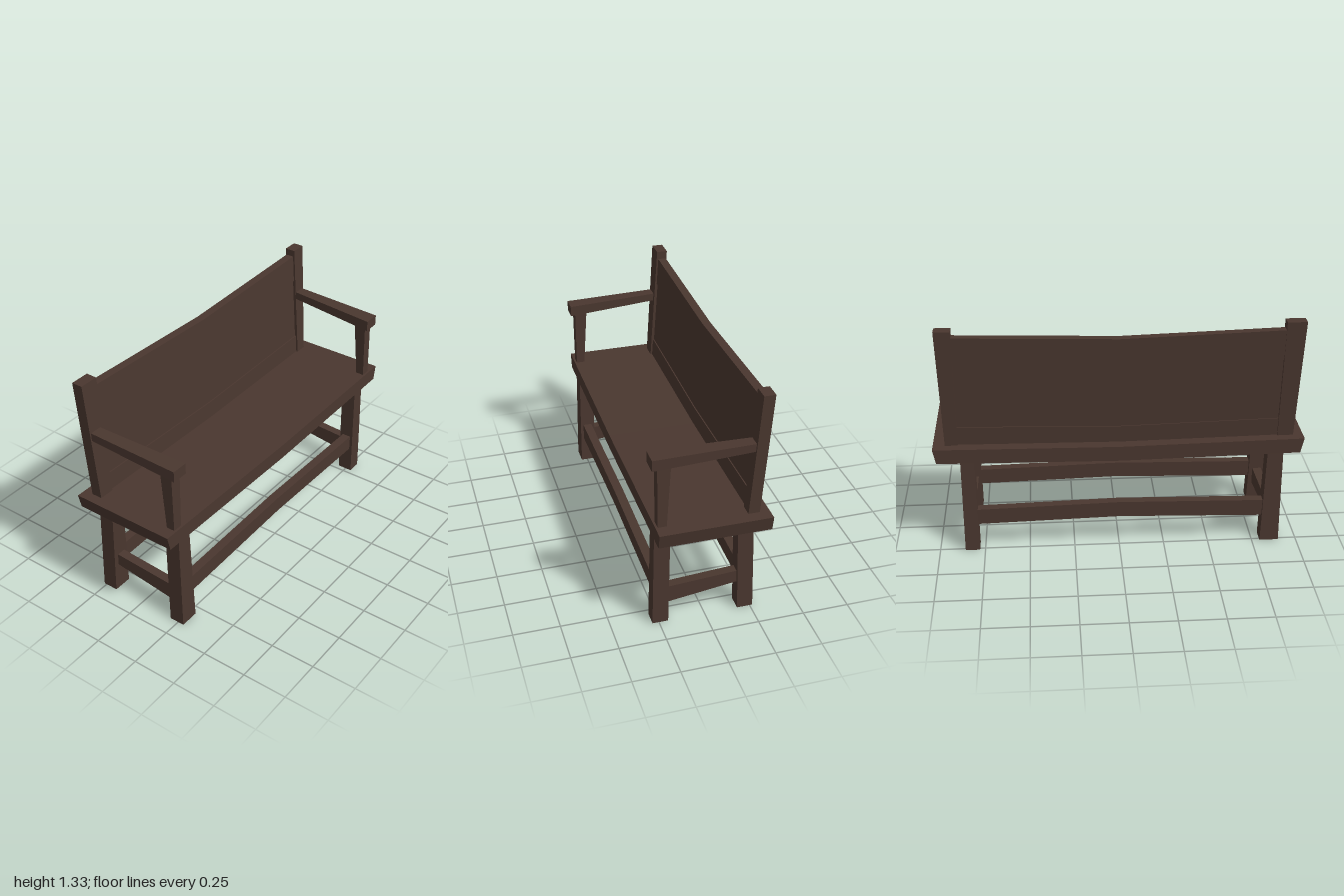
import * as THREE from 'three';

const wood = new THREE.MeshStandardMaterial({ color: 0x4a372f });
wood.name = 'dark wood';

// Flat-faced beam along an axis (0 x, 1 y, 2 z) through rectangular sections.
// Section: [position, b0, b1, c0, c1, tilt]; b and c are the next axes in
// cyclic order, and tilt moves the b1 side along the beam to slant its end.
function beam(name, axis, sections) {
  const rings = sections.map(([a, b0, b1, c0, c1, tilt = 0]) =>
    [[b0, c0], [b1, c0], [b1, c1], [b0, c1]].map(([b, c]) => {
      const p = [0, 0, 0];
      p[axis] = a + (b === b1 ? tilt : 0);
      p[(axis + 1) % 3] = b;
      p[(axis + 2) % 3] = c;
      return p;
    }));
  const out = [];
  const quad = (p, q, r, s) => out.push(...p, ...q, ...r, ...p, ...r, ...s);
  for (let i = 0; i + 1 < rings.length; i++) {
    for (let k = 0; k < 4; k++) {
      const n = (k + 1) % 4;
      quad(rings[i][k], rings[i][n], rings[i + 1][n], rings[i + 1][k]);
    }
  }
  const first = rings[0], last = rings[rings.length - 1];
  quad(first[3], first[2], first[1], first[0]);
  quad(last[0], last[1], last[2], last[3]);
  const geo = new THREE.BufferGeometry();
  geo.setAttribute('position', new THREE.Float32BufferAttribute(out, 3));
  geo.computeVertexNormals();
  const mesh = new THREE.Mesh(geo, wood);
  mesh.name = name;
  return mesh;
}

// Tilts a back part rearwards with height above the seat
function lean(mesh) {
  const p = mesh.geometry.attributes.position;
  for (let i = 0; i < p.count; i++) p.setZ(i, p.getZ(i) - 0.067 * (p.getY(i) - 0.65));
  mesh.geometry.computeVertexNormals();
  return mesh;
}

export function createModel() {
  const bench = new THREE.Group();
  bench.name = 'bench';

  // Sagging seat plank with slanted ends
  bench.add(beam('seat', 0, [
    [-0.98, 0.573, 0.657, -0.302, 0.287, -0.02],
    [0, 0.556, 0.64, -0.302, 0.287],
    [0.983, 0.57, 0.652, -0.302, 0.287, 0.017],
  ]));

  // Legs: x ranges at foot and top differ a little on each side
  const legX = {
    right: [[-0.9, -0.795], [-0.9, -0.815]],
    left: [[0.78, 0.86], [0.785, 0.86]],
  };
  for (const side of ['right', 'left']) {
    const [foot, top] = legX[side];
    bench.add(
      beam(side + 'FrontLeg', 1, [[0, 0.2, 0.285, ...foot], [0.6, 0.19, 0.275, ...top]]),
      beam(side + 'BackLeg', 1, [[0, -0.265, -0.18, ...foot], [0.6, -0.25, -0.165, ...top]]),
    );
    const x = (foot[0] + foot[1]) / 2;
    bench.add(beam(side + 'Stretcher', 2, [
      [-0.19, x - 0.025, x + 0.025, 0.166, 0.235],
      [0.21, x - 0.025, x + 0.025, 0.112, 0.21],
    ]));
  }

  // Long arched stretchers, front and back
  for (const [name, z] of [['frontStretcher', 0.24], ['backStretcher', -0.22]]) {
    bench.add(beam(name, 0, [
      [-0.82, 0.152, 0.248, z - 0.025, z + 0.025],
      [0, 0.175, 0.265, z - 0.025, z + 0.025],
      [0.8, 0.155, 0.245, z - 0.025, z + 0.025],
    ]));
  }

  // Back posts
  bench.add(
    lean(beam('rightBackPost', 1, [
      [0.63, -0.25, -0.19, -0.945, -0.86], [1.328, -0.25, -0.19, -0.97, -0.865]])),
    lean(beam('leftBackPost', 1, [
      [0.63, -0.25, -0.19, 0.867, 0.935], [1.32, -0.25, -0.19, 0.865, 0.952]])),
  );

  // Backrest: sagging top rail, recessed panel and bottom rail
  const rail = (name, ends, middle, z0, z1) => lean(beam(name, 0, [
    [-0.88, ...ends, z0, z1], [0, ...middle, z0, z1], [0.88, ...ends, z0, z1],
  ]));
  bench.add(
    rail('topRail', [1.125, 1.283], [1.152, 1.255], -0.246, -0.2),
    rail('backPanel', [0.74, 1.14], [0.72, 1.17], -0.234, -0.206),
    rail('bottomRail', [0.62, 0.757], [0.61, 0.735], -0.24, -0.2),
  );

  // Armrests and their front supports
  bench.add(
    beam('rightArmrest', 2, [
      [-0.23, -0.952, -0.885, 1.01, 1.053], [0.303, -0.95, -0.86, 0.98, 1.04]]),
    beam('leftArmrest', 2, [
      [-0.23, 0.87, 0.935, 1.01, 1.053], [0.303, 0.83, 0.925, 0.98, 1.04]]),
    beam('rightArmSupport', 1, [
      [0.63, 0.23, 0.275, -0.93, -0.877], [1, 0.205, 0.275, -0.937, -0.873]]),
    beam('leftArmSupport', 1, [
      [0.63, 0.23, 0.275, 0.872, 0.925], [1, 0.205, 0.275, 0.855, 0.915]]),
  );
  return bench;
}
